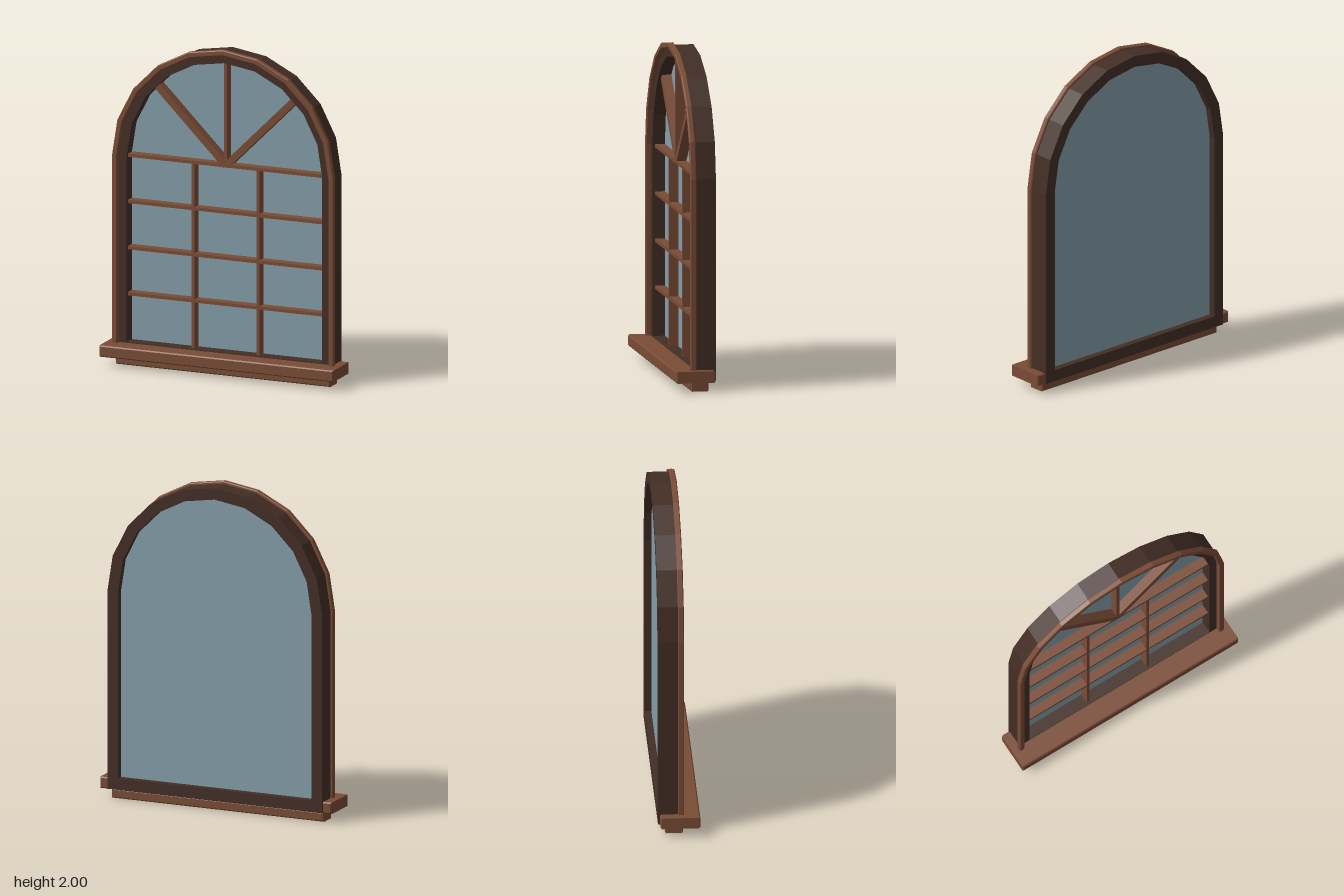
import * as THREE from 'three';

const SPRING = 1.28; // height where the arch begins

// Round-headed outline with a ten-sided arch
function archPoints(radius, bottom) {
  const pts = [new THREE.Vector2(-radius, bottom), new THREE.Vector2(radius, bottom)];
  for (let i = 0; i <= 10; i++) {
    const a = (i / 10) * Math.PI;
    pts.push(new THREE.Vector2(radius * Math.cos(a), SPRING + radius * Math.sin(a)));
  }
  return pts;
}

// Extrude a shape between two z values, with an optional chamfer inside its size
function extrude(shape, z0, z1, bevel = 0) {
  const geo = new THREE.ExtrudeGeometry(shape, {
    depth: z1 - z0 - 2 * bevel, bevelEnabled: bevel > 0, bevelSegments: 1,
    bevelSize: bevel, bevelThickness: bevel, bevelOffset: -bevel,
  });
  return geo.translate(0, 0, z0 + bevel);
}

function archRing(outer, inner, bottomOuter, bottomInner, z0, z1, bevel) {
  const shape = new THREE.Shape(archPoints(outer, bottomOuter));
  shape.holes.push(new THREE.Path(archPoints(inner, bottomInner).reverse()));
  return extrude(shape, z0, z1, bevel);
}

function chamferedBoard(halfWidth, y0, y1, z0, z1) {
  const shape = new THREE.Shape([[-halfWidth, y0], [halfWidth, y0], [halfWidth, y1], [-halfWidth, y1]]
    .map(([x, y]) => new THREE.Vector2(x, y)));
  return extrude(shape, z0, z1, 0.007);
}

export function createModel() {
  const group = new THREE.Group();
  const wood = new THREE.MeshStandardMaterial({ color: 0x7a4c36 });
  wood.name = 'wood';
  const darkWood = new THREE.MeshStandardMaterial({ color: 0x432e25 });
  darkWood.name = 'dark wood';
  const glass = new THREE.MeshStandardMaterial({ color: 0x859eaa });
  glass.name = 'glass';

  const add = (name, geo, mat) => {
    const mesh = new THREE.Mesh(geo, mat);
    mesh.name = name;
    group.add(mesh);
    return mesh;
  };

  // Frame, front trim and pane
  add('frame', archRing(0.705, 0.635, 0.064, 0.135, -0.125, 0), darkWood);
  add('frontTrim', archRing(0.72, 0.686, 0.053, 0.09, -0.005, 0.03, 0.005), wood);
  add('pane', extrude(new THREE.Shape(archPoints(0.64, 0.13)), -0.083, -0.075), glass);

  // Sill and the apron under it
  add('sill', chamferedBoard(0.76, 0.06, 0.13, -0.113, 0.125), wood);
  add('apron', chamferedBoard(0.697, 0, 0.057, -0.083, 0.025), wood);

  // Glazing bars, each running between two points
  const bar = (name, x0, y0, x1, y1, width) => {
    const length = Math.hypot(x1 - x0, y1 - y0);
    const mesh = add(name, new THREE.BoxGeometry(length, width, 0.06), wood);
    mesh.position.set((x0 + x1) / 2, (y0 + y1) / 2, -0.046);
    mesh.rotation.z = Math.atan2(y1 - y0, x1 - x0);
  };
  for (const y of [0.428, 0.711, 0.995, SPRING]) bar('horizontalBar', -0.637, y, 0.637, y, 0.02);
  for (const x of [-0.21, 0.21]) bar('verticalBar', x, 0.13, x, SPRING, 0.02);
  for (const s of [-1, 1]) bar('fanBar', 0, SPRING, s * 0.449, SPRING + 0.449, 0.042);
  bar('fanCentreBar', 0, SPRING, 0, 1.917, 0.018);

  return group;
}
